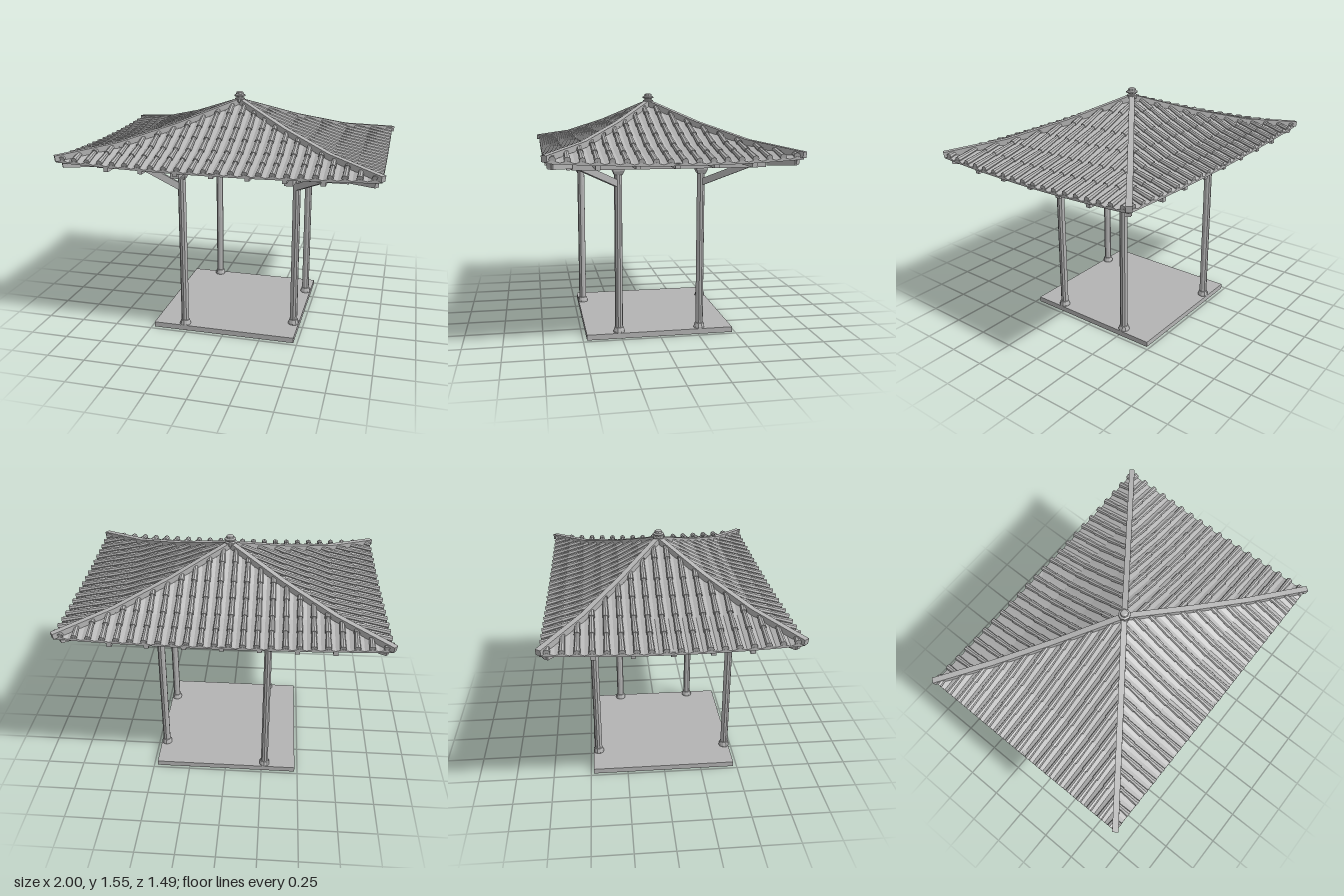
import * as THREE from 'three';

const W = 0.985, D = 0.725;                       // half extents of the roof
const COURSES = [0, 0.18, 0.36, 0.52, 0.68, 0.84, 1];
const KNOTS = [[0, 1.485], [0.36, 1.347], [0.68, 1.244], [1, 1.178]];

// Roof height along the slope (0 = apex, 1 = eave)
function slope(t) {
  for (let i = 1; i < KNOTS.length; i++) {
    const [t0, y0] = KNOTS[i - 1], [t1, y1] = KNOTS[i];
    if (t <= t1) return y0 + (y1 - y0) * (t - t0) / (t1 - t0);
  }
  return KNOTS[KNOTS.length - 1][1];
}

// Point on one roof face; c runs along its eave, corners sweep up slightly
function roofPoint(face, c, t, off = 0) {
  const s = t > 0 ? c / (face.half * t) : 0;
  const y = slope(t) + 0.025 * t * t * s * s + off;
  const out = face.sign * face.depth * t;
  return face.alongX ? new THREE.Vector3(c, y, out) : new THREE.Vector3(out, y, c);
}

export function createModel() {
  const model = new THREE.Group();
  model.name = 'pavilion';
  const grey = new THREE.MeshStandardMaterial({ color: 0xb4b4b4, flatShading: true, side: THREE.DoubleSide });
  grey.name = 'stone grey';

  const add = (name, geometry, parent = model) => {
    const mesh = new THREE.Mesh(geometry, grey);
    mesh.name = name;
    parent.add(mesh);
    return mesh;
  };
  const group = (name) => {
    const g = new THREE.Group();
    g.name = name;
    model.add(g);
    return g;
  };
  // Rectangular timber between two points
  const beam = (name, a, b, w, h, parent) => {
    const m = add(name, new THREE.BoxGeometry(w, h, a.distanceTo(b)), parent);
    m.position.copy(a).lerp(b, 0.5);
    m.lookAt(b);
    return m;
  };
  const v = (x, y, z) => new THREE.Vector3(x, y, z);
  const lathe = (pts, sides) => new THREE.LatheGeometry(pts.map(([r, y]) => new THREE.Vector2(r, y)), sides);

  // Floor slab
  add('floorSlab', new THREE.BoxGeometry(0.955, 0.035, 0.955)).position.set(-0.0025, 0.0175, -0.0025);

  // Posts with flared feet, capitals and diagonal braces
  const postProfile = [[0, 0.034], [0.036, 0.034], [0.036, 0.045], [0.029, 0.068], [0.025, 0.07], [0.025, 1.06], [0, 1.06]];
  for (const [x, z, bx, bz] of [[0.44, 0.265, 0.65, 0.53], [-0.27, 0.445, -0.48, 0.53]]) {
    for (const s of [1, -1]) {
      const post = group('post');
      add('shaft', lathe(postProfile, 10), post);
      const cap = add('capital', new THREE.CylinderGeometry(0.05, 0.036, 0.025, 4), post);
      cap.position.y = 1.067;
      cap.rotation.y = Math.PI / 4;
      add('capitalBlock', new THREE.BoxGeometry(0.072, 0.032, 0.072), post).position.y = 1.095;
      post.position.set(x, 0, z * s);
      beam('brace', v(x, 0.995, z * s), v(bx, 1.135, bz * s), 0.03, 0.042);
    }
    // Cross beam over each pair of posts
    add('crossBeam', new THREE.BoxGeometry(0.055, 0.05, 1.17)).position.set(x, 1.115, 0);
  }

  // Ring of wall plates below the eaves
  for (const s of [1, -1]) {
    add('longPlate', new THREE.BoxGeometry(1.58, 0.045, 0.04)).position.set(0, 1.145, 0.55 * s);
    add('shortPlate', new THREE.BoxGeometry(0.04, 0.045, 1.14)).position.set(0.77 * s, 1.145, 0);
  }

  // Rafter ends below the eaves
  const rafters = group('rafterEnds');
  for (const s of [1, -1]) {
    for (let i = -3; i <= 3; i++) {
      beam('rafterEnd', v(i * 0.22, 1.158, 0.53 * s), v(i * 0.22, 1.158, 0.72 * s), 0.028, 0.032, rafters);
    }
    for (let i = -2; i <= 2; i++) {
      beam('rafterEnd', v(0.75 * s, 1.158, i * 0.22), v(0.975 * s, 1.158, i * 0.22), 0.028, 0.032, rafters);
    }
  }

  // Sheet that follows one roof face; flutes > 0 gives wavy pan tiles
  const roofSheet = (face, columns, flutes, off) => {
    const pos = [], idx = [], rows = COURSES.length + (flutes ? 1 : 0);
    for (let i = 0; i <= columns; i++) {
      const c = face.half * (2 * i / columns - 1);
      const wave = flutes ? -0.006 * (1 + Math.cos(2 * Math.PI * flutes * i / columns)) : 0;
      for (let j = 0; j < rows; j++) {
        const t = Math.max(COURSES[Math.min(j, COURSES.length - 1)], Math.abs(c) / face.half);
        const lip = j === COURSES.length;
        pos.push(...roofPoint(face, c, t, lip ? -0.02 : off + wave).toArray());
      }
    }
    const flip = face.alongX !== face.sign > 0;
    for (let i = 0; i < columns; i++) {
      for (let j = 0; j < rows - 1; j++) {
        const a = i * rows + j, b = a + 1, d = a + rows, e = d + 1;
        idx.push(...(flip ? [a, d, b, b, d, e] : [a, b, d, b, e, d]));
      }
    }
    const g = new THREE.BufferGeometry();
    g.setAttribute('position', new THREE.Float32BufferAttribute(pos, 3));
    g.setIndex(idx);
    g.computeVertexNormals();
    return g;
  };

  // Four roof faces: deck, pan tiles and tapering roll tiles
  const up = v(0, 1, 0);
  for (const sign of [1, -1]) {
    for (const alongX of [true, false]) {
      const face = { alongX, sign, half: alongX ? W : D, depth: alongX ? D : W };
      const count = alongX ? 24 : 18;
      add('roofDeck', roofSheet(face, 12, 0, -0.02));
      add('panTiles', roofSheet(face, count * 4, count, 0));
      const rolls = group('rollTiles');
      for (let k = 0; k < count; k++) {
        const c = face.half * ((2 * k + 1) / count - 1);
        const start = Math.abs(c) / face.half;
        for (let j = 0; j < COURSES.length - 1; j++) {
          const t0 = Math.max(COURSES[j], start), t1 = COURSES[j + 1];
          if (t1 - t0 < 0.01) continue;
          const a = roofPoint(face, c, t0, 0.004), b = roofPoint(face, c, t1, 0.004);
          const tile = add('rollTile', new THREE.CylinderGeometry(0.014, 0.019, a.distanceTo(b), 8), rolls);
          tile.position.copy(a).lerp(b, 0.5);
          tile.quaternion.setFromUnitVectors(up, a.sub(b).normalize());
        }
      }
    }
  }

  // Hip ridges above and hip rafters below, along the four diagonals
  const hip = (sx, sz, t, off) => v(sx * W * t, slope(Math.min(t, 1)) + 0.025 * t * t + off, sz * D * t);
  for (const sx of [1, -1]) {
    for (const sz of [1, -1]) {
      const stops = [0, 0.36, 0.68, 1.005];
      for (let i = 0; i < 3; i++) {
        beam('hipRidge', hip(sx, sz, stops[i], 0.006), hip(sx, sz, stops[i + 1], 0.006), 0.036, 0.036);
        beam('hipRafter', hip(sx, sz, Math.max(stops[i], 0.02), -0.036), hip(sx, sz, Math.min(stops[i + 1], 0.97), -0.036), 0.03, 0.036);
      }
      beam('cornerBracket', v(sx * 0.8, 1.15, sz * 0.58), v(sx * 0.955, 1.163, sz * 0.695), 0.034, 0.03);
    }
  }

  // Finial
  add('finial', lathe([[0, 1.47], [0.034, 1.485], [0.034, 1.507], [0.024, 1.512], [0.024, 1.52],
    [0.038, 1.522], [0.038, 1.53], [0.026, 1.536], [0.024, 1.548], [0.014, 1.553], [0, 1.553]], 8));

  return model;
}
